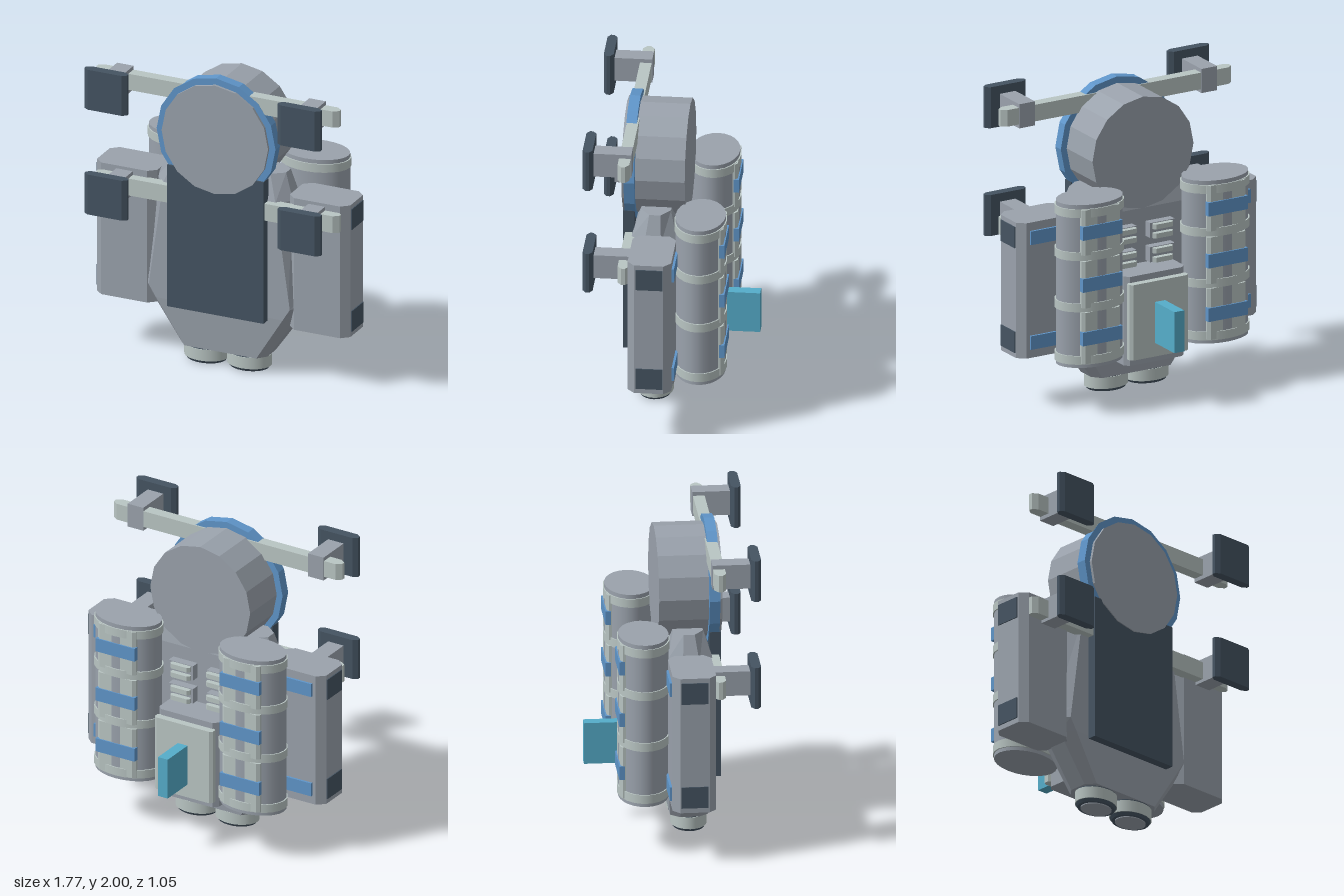
import * as THREE from 'three';

const material = (name, color) => {
  const m = new THREE.MeshStandardMaterial({ color });
  m.name = name;
  return m;
};

export function createModel() {
  const grey = material('grey metal', 0x9aa2ac);
  const light = material('pale metal', 0xb9c5c3);
  const dark = material('dark slate', 0x455462);
  const blue = material('blue trim', 0x5f95c9);
  const cyan = material('cyan fin', 0x55adca);
  const model = new THREE.Group();

  const add = (name, geo, mat) => {
    const mesh = new THREE.Mesh(geo, mat);
    mesh.name = name;
    model.add(mesh);
    return mesh;
  };
  // Box given by its limits
  const box = (name, mat, x0, x1, y0, y1, z0, z1) =>
    add(name, new THREE.BoxGeometry(x1 - x0, y1 - y0, z1 - z0), mat)
      .position.set((x0 + x1) / 2, (y0 + y1) / 2, (z0 + z1) / 2);
  // Box with its four upright edges chamfered by cx, cz
  const chamfered = (name, mat, x0, x1, y0, y1, z0, z1, cx, cz) => {
    const pts = [[x0 + cx, z1], [x1 - cx, z1], [x1, z1 - cz], [x1, z0 + cz],
      [x1 - cx, z0], [x0 + cx, z0], [x0, z0 + cz], [x0, z1 - cz]];
    const shape = new THREE.Shape(pts.map(([x, z]) => new THREE.Vector2(x, -z)));
    const geo = new THREE.ExtrudeGeometry(shape, { depth: y1 - y0, bevelEnabled: false });
    geo.rotateX(-Math.PI / 2).translate(0, y0, 0);
    add(name, geo, mat);
  };
  // Upright cylinder with an oval section
  const oval = (name, mat, x, z, rx, rz, y0, y1, sides = 24, top = 1) => {
    const geo = new THREE.CylinderGeometry(top, 1, y1 - y0, sides);
    geo.scale(rx, 1, rz).translate(x, (y0 + y1) / 2, z);
    add(name, geo, mat);
  };
  // Disc facing forward
  const disc = (name, mat, y, r, z0, z1) => {
    const geo = new THREE.CylinderGeometry(r, r, z1 - z0, 16).toNonIndexed();
    geo.rotateX(Math.PI / 2).translate(0, y, (z0 + z1) / 2);
    geo.computeVertexNormals();
    add(name, geo, mat);
  };

  // Faceted torso: [y, face half width, outer half width, front z, back z, chamfer]
  const rows = [
    [0.11, 0.25, 0.30, 0.24, 0.0, 0.06],
    [0.41, 0.44, 0.51, 0.255, -0.03, 0.08],
    [0.49, 0.49, 0.56, 0.255, -0.03, 0.09],
    [0.56, 0.48, 0.545, 0.255, -0.03, 0.09],
    [1.20, 0.39, 0.47, 0.255, -0.03, 0.09],
    [1.37, 0.33, 0.41, 0.20, 0.01, 0.06],
  ];
  const rings = rows.map(([y, wi, wo, zf, zb, c]) => {
    const half = [[wi, zf], [wo, zf - c], [wo, zb + c], [wi, zb]];
    const other = half.slice().reverse().map(([x, z]) => [-x, z]);
    return [...half, ...other].map(([x, z]) => [x, y, z]);
  });
  const verts = [];
  const tri = (a, b, c) => verts.push(...a, ...b, ...c);
  for (let r = 0; r < rings.length - 1; r++) {
    for (let i = 0; i < 8; i++) {
      const j = (i + 1) % 8, lo = rings[r], hi = rings[r + 1];
      tri(lo[i], lo[j], hi[j]);
      tri(lo[i], hi[j], hi[i]);
    }
  }
  const bottom = rings[0], top = rings[rings.length - 1];
  for (let i = 1; i < 7; i++) {
    tri(top[0], top[i], top[i + 1]);
    tri(bottom[0], bottom[i + 1], bottom[i]);
  }
  const torso = new THREE.BufferGeometry();
  torso.setAttribute('position', new THREE.Float32BufferAttribute(verts, 3));
  torso.computeVertexNormals();
  add('torso', torso, grey);
  box('frontPlate', dark, -0.335, 0.335, 0.39, 1.355, 0.24, 0.313);

  // Round head and its blue collar
  disc('headDrum', grey, 1.587, 0.37, -0.08, 0.32);
  disc('headCollar', blue, 1.587, 0.413, 0.235, 0.302);

  // Cross beams
  chamfered('upperBeam', light, -0.845, 0.845, 1.81, 1.92, 0.226, 0.30, 0.035, 0.025);

  for (const s of [-1, 1]) {
    // Limits on the left side, mirrored to the right when s is -1
    const mx = (a, b) => (s > 0 ? [a, b] : [-b, -a]);

    chamfered('lowerBeam', light, ...mx(0.30, 0.845), 1.09, 1.205, 0.226, 0.30, 0.035, 0.025);
    // Arms and square panels
    for (const y of [1.865, 1.15]) {
      box('panelArm', grey, ...mx(0.61, 0.725), y - 0.08, y + 0.08, 0.222, 0.47);
      chamfered('squarePanel', dark, ...mx(0.523, 0.82), y - 0.137, y + 0.135, 0.46, 0.522, 0.03, 0.02);
    }

    // Side pods with dark ports and blue back strips
    chamfered('sidePod', grey, ...mx(0.46, 0.88), 0.352, 1.25, -0.04, 0.235, 0.05, 0.045);
    for (const y of [1.15, 0.455]) {
      box('podPort', dark, ...mx(0.878, 0.887), y - 0.07, y + 0.07, 0.01, 0.18);
      box('podStrip', blue, ...mx(0.555, 0.805), y - 0.045, y + 0.045, -0.055, -0.038);
    }

    // Oval tanks with bands, back pads and strips
    const tx = 0.46, tz = -0.19;
    oval('tank', grey, s * tx, tz, 0.228, 0.158, 0.33, 1.41);
    for (const y of [0.382, 0.73, 1.07, 1.355]) {
      oval('tankBand', light, s * tx, tz, 0.236, 0.166, y - 0.028, y + 0.028);
    }
    for (const [y0, y1] of [[0.36, 0.70], [0.73, 1.04], [1.08, 1.38]]) {
      const mid = (y0 + y1) / 2;
      chamfered('tankPad', light, ...mx(0.32, 0.60), y0, y1, -0.345, -0.29, 0.02, 0.015);
      box('tankStrip', blue, ...mx(0.315, 0.605), mid - 0.045, mid + 0.045, -0.354, -0.32);
    }

    // Vent bars on the upper back
    for (const y of [0.90, 1.06]) {
      box('ventBase', grey, ...mx(0.05, 0.23), y - 0.05, y + 0.05, -0.085, 0);
      for (const d of [-0.03, 0.03]) {
        chamfered('ventBar', light, ...mx(0.06, 0.205), y + d - 0.016, y + d + 0.016, -0.12, -0.08, 0.015, 0.015);
      }
    }

    // Twin nozzles underneath
    const nx = s * 0.148, nz = 0.125;
    oval('nozzleCollar', dark, nx, nz, 0.142, 0.11, 0.098, 0.118);
    oval('nozzleRing', light, nx, nz, 0.148, 0.115, 0.025, 0.102);
    oval('nozzleRim', dark, nx, nz, 0.13, 0.102, 0.006, 0.026, 24, 1.1);
    oval('nozzleFace', grey, nx, nz, 0.108, 0.085, 0, 0.02);
  }

  // Back unit with cover plate and fin
  chamfered('backUnit', grey, -0.22, 0.22, 0.25, 0.84, -0.24, 0, 0.03, 0.03);
  chamfered('backCover', light, -0.215, 0.215, 0.30, 0.80, -0.288, -0.23, 0.02, 0.015);
  box('backFin', cyan, -0.036, 0.036, 0.39, 0.662, -0.523, -0.28);

  return model;
}
